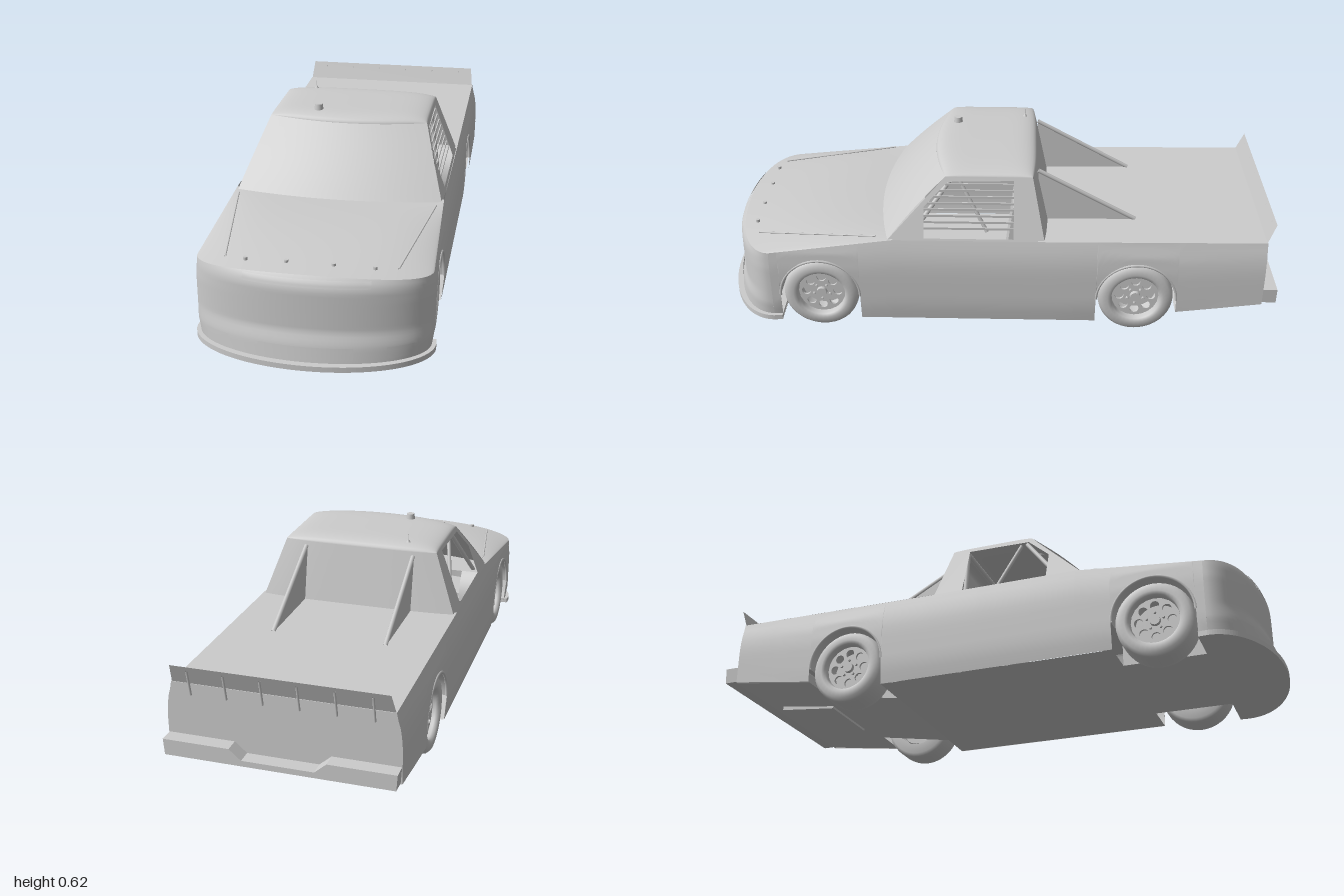
import * as THREE from 'three';

const grey = new THREE.MeshStandardMaterial({ color: 0xcccccc, side: THREE.DoubleSide });
grey.name = 'bodyGrey';

const lerp = THREE.MathUtils.lerp;
const ARCH_R = 0.143, ARCH_Y = 0.14, AXLES = [0.626, -0.503];

// piecewise linear lookup
function look(table, t) {
  for (let i = 1; i < table.length; i++) {
    const [a, va] = table[i - 1], [b, vb] = table[i];
    if (t <= b) return lerp(va, vb, THREE.MathUtils.clamp((t - a) / (b - a), 0, 1));
  }
  return table[table.length - 1][1];
}
const bodyW = y => look([[0.04, 0.376], [0.1, 0.385], [0.25, 0.386], [0.31, 0.381], [0.365, 0.366]], y);
const noseD = y => look([[0.04, 0.18], [0.11, 0.17], [0.15, 0.156], [0.29, 0.156], [0.315, 0.147], [0.335, 0.13]], y);
const cabW = y => lerp(0.362, 0.282, (y - 0.355) / 0.22);
const floorY = z => look([[-0.95, 0.13], [-0.65, 0.09], [-0.36, 0.042]], z);
const noseTop = u => 0.332 - 0.02 * u * u;

// smooth surface from a rule fn(s, t) with s, t in 0..1
function grid(nu, nv, fn) {
  const pos = [], idx = [];
  for (let i = 0; i <= nu; i++) for (let j = 0; j <= nv; j++) pos.push(...fn(i / nu, j / nv));
  for (let i = 0; i < nu; i++) for (let j = 0; j < nv; j++) {
    const a = i * (nv + 1) + j, b = a + nv + 1;
    idx.push(a, b, a + 1, b, b + 1, a + 1);
  }
  const g = new THREE.BufferGeometry();
  g.setAttribute('position', new THREE.Float32BufferAttribute(pos, 3));
  g.setIndex(idx);
  g.computeVertexNormals();
  return g;
}

export function createModel() {
  const model = new THREE.Group();
  const add = (name, geo, parent = model) => {
    const m = new THREE.Mesh(geo, grey);
    m.name = name;
    parent.add(m);
    return m;
  };
  const box = (name, w, h, d, x, y, z, parent) => {
    const m = add(name, new THREE.BoxGeometry(w, h, d), parent);
    m.position.set(x, y, z);
    return m;
  };
  const bar = (name, a, b, r) => {
    const p = new THREE.Vector3(...a), q = new THREE.Vector3(...b);
    return add(name, new THREE.TubeGeometry(new THREE.LineCurve3(p, q), 1, r, 8));
  };

  // side columns, running rear to front, with wheel arches cut into the lower edge
  const cols = [];
  const arch = c => {
    cols.push([c - ARCH_R - 0.0005, floorY(c - ARCH_R)]);
    for (let k = 0; k <= 20; k++) {
      const a = Math.PI * (1 - k / 20);
      cols.push([c + ARCH_R * Math.cos(a), ARCH_Y + ARCH_R * Math.sin(a)]);
    }
    cols.push([c + ARCH_R + 0.0005, floorY(c + ARCH_R)]);
  };
  [-0.95, -0.8].forEach(z => cols.push([z, floorY(z)]));
  arch(AXLES[1]);
  [-0.2, 0, 0.2, 0.36].forEach(z => cols.push([z, 0.042]));
  arch(AXLES[0]);
  cols.push([0.8, 0.042]);
  const sideTop = z => look([[-0.95, 0.372], [-0.2, 0.365], [0.36, 0.365], [0.8, noseTop(1)]], z);

  for (const s of [-1, 1]) {
    add('sidePanel', grid(cols.length - 1, 9, (i, t) => {
      const [z, y0] = cols[Math.round(i * (cols.length - 1))];
      const y = lerp(y0, sideTop(z), t);
      return [s * bodyW(y), y, z];
    }));
    for (const c of AXLES) {
      // wheel well liner and inner wall
      add('wheelWell', grid(20, 1, (i, t) => {
        const a = Math.PI * i;
        return [s * lerp(0.235, 0.38, t), ARCH_Y + ARCH_R * Math.sin(a), c + ARCH_R * Math.cos(a)];
      }));
      add('wheelWellWall', grid(20, 1, (i, t) => {
        const a = Math.PI * i, z = c + ARCH_R * Math.cos(a);
        return [s * 0.235, lerp(floorY(z), ARCH_Y + ARCH_R * Math.sin(a), t), z];
      }));
      const lip = add('archLip', new THREE.TorusGeometry(ARCH_R, 0.005, 6, 28, Math.PI));
      lip.rotation.y = Math.PI / 2;
      lip.position.set(s * 0.383, ARCH_Y, c);
    }
  }

  // nose fascia and hood share one upper edge
  const fascia = (a, y, out = 0) =>
    [(bodyW(y) + out) * Math.sin(a), y, 0.8 + (noseD(y) + out) * Math.cos(a)];
  add('noseFascia', grid(40, 24, (i, t) => {
    const a = (i - 0.5) * Math.PI;
    return fascia(a, lerp(0.042, noseTop(Math.sin(a)), t));
  }));
  add('hood', grid(40, 20, (i, v) => {
    const a = (i - 0.5) * Math.PI, u = Math.sin(a), y1 = noseTop(u);
    const z1 = 0.8 + noseD(y1) * Math.cos(a);
    const crown = 0.014 * (1 - u ** 6) * Math.sin(Math.PI * v);
    return [u * lerp(0.366, bodyW(y1), v), lerp(0.365, y1, v) + crown, lerp(0.36, z1, v)];
  }));
  const patch = (name, x0, x1, y0, y1) => add(name, grid(16, 3, (i, t) => {
    const y = lerp(y0, y1, t);
    return fascia(Math.asin(lerp(x0, x1, i) / bodyW(y)), y, 0.003);
  }));
  patch('upperGrille', -0.2, 0.2, 0.3, 0.323);
  patch('lowerGrille', -0.15, 0.15, 0.067, 0.105);
  for (const s of [-1, 1]) {
    patch('brakeDuct', s * 0.25, s * 0.33, 0.067, 0.105);
    bar('hoodSeam', [s * 0.345, 0.368, 0.42], [s * 0.275, 0.335, 0.85], 0.003);
    for (const x of [0.075, 0.205]) {
      const pin = add('hoodPin', new THREE.CylinderGeometry(0.007, 0.007, 0.01, 10));
      pin.position.set(s * x, 0.342, 0.868);
    }
  }

  // front splitter
  const lipShape = new THREE.Shape();
  lipShape.moveTo(0.39, -0.77);
  lipShape.lineTo(0.392, -0.8);
  lipShape.absellipse(0, -0.8, 0.392, 0.2, 0, Math.PI, true);
  lipShape.lineTo(-0.39, -0.77);
  const splitter = add('splitter', new THREE.ExtrudeGeometry(lipShape, { depth: 0.018, bevelEnabled: false, curveSegments: 40 }));
  splitter.rotation.x = -Math.PI / 2;
  splitter.position.y = 0.036;

  // underbody, narrower between the wheels
  const cuts = [0.8, 0.769, 0.483, -0.36, -0.646, -0.95];
  [0.374, 0.235, 0.374, 0.235, 0.374].forEach((w, k) => add('floor', grid(1, 1, (i, t) => {
    const z = lerp(cuts[k], cuts[k + 1], t);
    return [lerp(-w, w, i), floorY(z), z];
  })));
  box('fuelCell', 0.26, 0.04, 0.22, 0, 0.117, -0.79).rotation.x = 0.1;

  // bed cover and tail
  add('bedCover', grid(1, 1, (i, t) => [lerp(-0.366, 0.366, i), lerp(0.365, 0.372, t), lerp(-0.15, -0.95, t)]));
  add('tailgate', grid(1, 9, (i, t) => {
    const y = lerp(0.13, 0.372, t);
    return [lerp(-1, 1, i) * bodyW(y), y, -0.95];
  }));
  const bumper = new THREE.Shape([
    [-0.38, 0.135], [0.38, 0.135], [0.384, 0.19], [0.16, 0.19], [0.12, 0.155],
    [-0.12, 0.155], [-0.16, 0.19], [-0.384, 0.19]].map(p => new THREE.Vector2(...p)));
  add('rearBumper', new THREE.ExtrudeGeometry(bumper, { depth: 0.05, bevelEnabled: false })).position.z = -1;
  add('spoiler', grid(1, 1, (i, t) => [lerp(-0.365, 0.365, i) * lerp(1, 0.975, t), lerp(0.365, 0.44, t), lerp(-0.945, -0.975, t)]));
  for (let k = 0; k < 6; k++) {
    const x = -0.3 + 0.12 * k;
    bar('spoilerBrace', [x, 0.425, -0.972], [x, 0.335, -0.953], 0.004);
  }

  // cab: side frames with window openings
  const zFront = y => lerp(0.385, 0.175, (y - 0.355) / 0.22);
  const zRear = y => lerp(-0.175, -0.13, (y - 0.355) / 0.22);
  const pts = list => list.map(p => new THREE.Vector2(...p));
  const frame = new THREE.Shape(pts([[zRear(0.355), 0.355], [zFront(0.355), 0.355], [zFront(0.575), 0.575], [zRear(0.575), 0.575]]));
  frame.holes.push(new THREE.Path(pts([[-0.065, 0.368], [-0.065, 0.563], [0.165, 0.558], [0.25, 0.475], [0.25, 0.368]])));
  for (const s of [-1, 1]) {
    const g = new THREE.ShapeGeometry(frame), p = g.attributes.position;
    for (let i = 0; i < p.count; i++) p.setXYZ(i, s * cabW(p.getY(i)), p.getY(i), p.getX(i));
    g.computeVertexNormals();
    add('cabSide', g);
  }
  add('windshield', grid(24, 8, (i, t) => {
    const u = i * 2 - 1, y = lerp(0.355, 0.575, t);
    return [u * cabW(y), y, zFront(y) + 0.048 * (1 - u * u) + 0.008 * Math.sin(Math.PI * t)];
  }));
  add('rearWindow', grid(16, 4, (i, t) => {
    const u = i * 2 - 1, y = lerp(0.355, 0.575, t);
    return [u * cabW(y), y, zRear(y) - 0.014 * (1 - u ** 4)];
  }));
  add('roof', grid(32, 24, (i, j) => {
    const u = Math.sin((i - 0.5) * Math.PI), v = Math.sin((j - 0.5) * Math.PI);
    const dome = Math.sqrt((1 - u ** 6) * (1 - v ** 6));
    const z = lerp(zRear(0.575) - 0.014 * (1 - u ** 4), zFront(0.575) + 0.048 * (1 - u * u), (v + 1) / 2);
    return [u * 0.282, 0.575 + dome * (0.02 + 0.005 * (1 - u * u)), z];
  }));

  // roof vent and antenna
  const vent = add('roofVent', new THREE.CylinderGeometry(0.014, 0.017, 0.024, 16));
  vent.position.set(-0.112, 0.606, 0.15);
  const base = add('antennaBase', new THREE.ConeGeometry(0.008, 0.012, 10));
  base.position.set(-0.17, 0.601, -0.1);
  bar('antenna', [-0.17, 0.6, -0.1], [-0.17, 0.625, -0.1], 0.001);

  // fins bracing the cab against the bed
  const fin = new THREE.Shape(pts([[0.15, 0.365], [0.15, 0.56], [0.5, 0.366]]));
  for (const s of [-1, 1]) {
    const m = add('bedFin', new THREE.ExtrudeGeometry(fin, { depth: 0.006, bevelEnabled: false }));
    m.rotation.y = Math.PI / 2;
    m.position.x = s * 0.2 - 0.003;
    bar('bedStrut', [s * 0.2, 0.56, -0.15], [s * 0.2, 0.368, -0.5], 0.008);
  }

  // window net on the driver's side
  for (let k = 0; k < 8; k++) {
    const y = 0.4 + 0.021 * k, z1 = y < 0.475 ? 0.25 : lerp(0.25, 0.165, (y - 0.475) / 0.083);
    box('windowNetStrap', 0.004, 0.008, z1 + 0.065, cabW(y) - 0.006, y, (z1 - 0.065) / 2);
  }

  // roll cage, seat and dashboard
  for (const s of [-1, 1]) {
    bar('cageRear', [s * 0.33, 0.06, -0.08], [s * 0.265, 0.565, -0.08], 0.009);
    bar('cageFront', [s * 0.33, 0.36, 0.3], [s * 0.26, 0.565, 0.15], 0.008);
    bar('cageDiagonal', [s * 0.265, 0.56, 0.13], [s * 0.3, 0.365, 0.03], 0.007);
  }
  bar('cageCross', [-0.265, 0.565, -0.08], [0.265, 0.565, -0.08], 0.009);
  box('seatBase', 0.16, 0.05, 0.17, 0.15, 0.16, 0.02);
  box('seatBack', 0.16, 0.26, 0.03, 0.15, 0.29, -0.06).rotation.x = -0.12;
  add('dashboard', grid(12, 1, (i, t) => {
    const u = i * 2 - 1;
    return [u * 0.355, 0.36, lerp(0.27, 0.385 + 0.04 * (1 - u * u), t)];
  }));

  // wheels, built around y then turned to face outward
  const tyre = pts([[0.085, -0.06], [0.122, -0.058], [0.133, -0.048], [0.135, -0.03], [0.135, 0.03], [0.133, 0.046], [0.122, 0.058], [0.1, 0.06], [0.088, 0.056], [0.085, 0.045], [0.08, -0.05]]);
  const disc = new THREE.Shape().absarc(0, 0, 0.084, 0, Math.PI * 2);
  for (let k = 0; k < 8; k++) {
    const a = k * Math.PI / 4;
    disc.holes.push(new THREE.Path().absarc(0.057 * Math.cos(a), 0.057 * Math.sin(a), 0.016, 0, Math.PI * 2, true));
  }
  const discGeo = new THREE.ExtrudeGeometry(disc, { depth: 0.008, bevelEnabled: false, curveSegments: 10 });
  for (const s of [-1, 1]) for (const c of AXLES) {
    const wheel = new THREE.Group();
    wheel.name = 'wheel';
    add('tyre', new THREE.LatheGeometry(tyre, 40), wheel);
    const face = add('rimFace', discGeo, wheel);
    face.rotation.x = -Math.PI / 2;
    face.position.y = 0.026;
    const back = add('brakeDisc', new THREE.CylinderGeometry(0.08, 0.08, 0.01, 28), wheel);
    back.position.y = -0.02;
    const hub = add('hub', new THREE.CylinderGeometry(0.018, 0.022, 0.05, 16), wheel);
    hub.position.y = 0.022;
    for (let k = 0; k < 5; k++) {
      const nut = add('wheelNut', new THREE.CylinderGeometry(0.005, 0.005, 0.012, 6), wheel);
      nut.position.set(0.03 * Math.cos(k * 1.2566), 0.038, 0.03 * Math.sin(k * 1.2566));
    }
    wheel.rotation.z = -s * Math.PI / 2;
    wheel.position.set(s * 0.314, 0.135, c);
    model.add(wheel);
  }
  return model;
}
